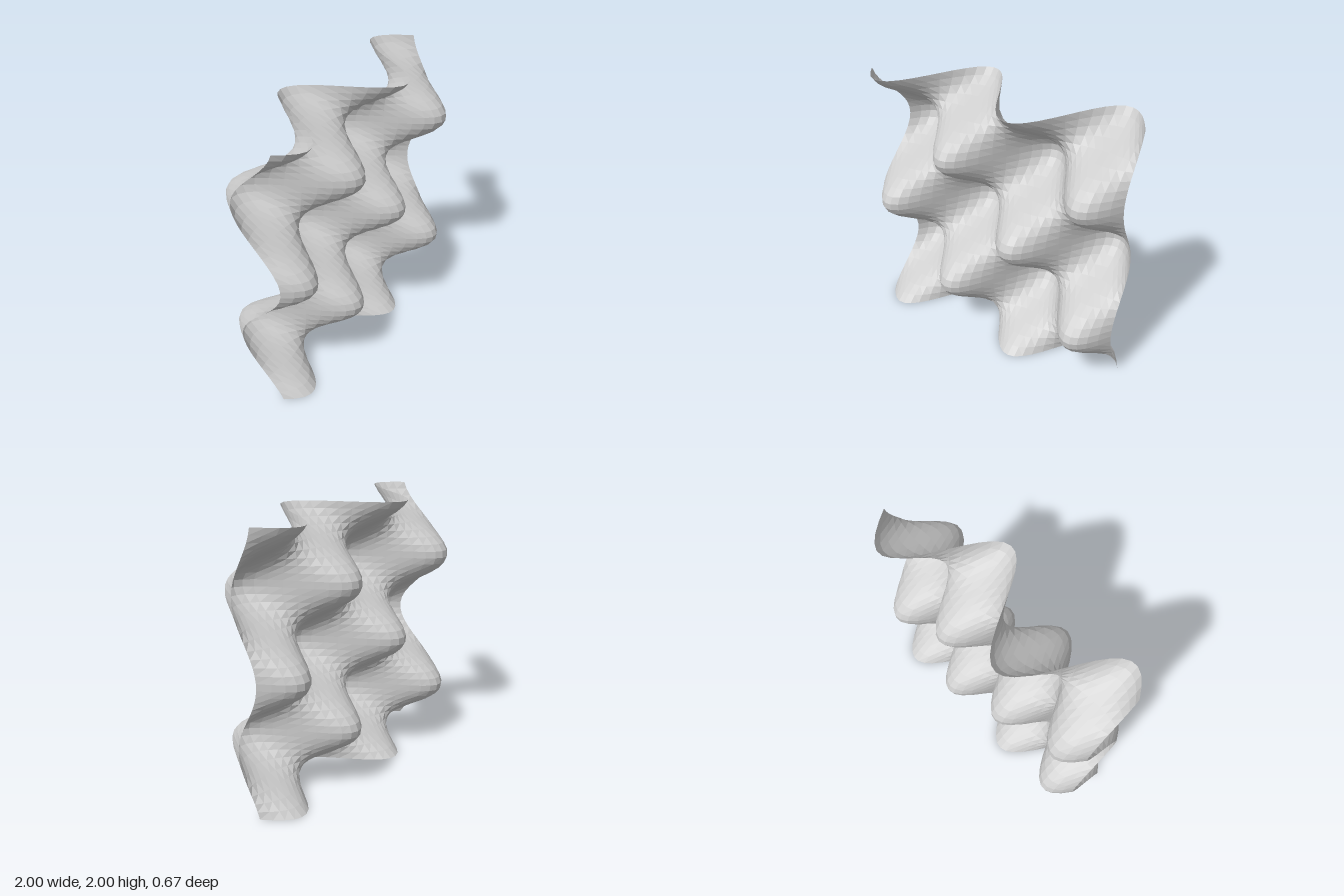
import * as THREE from 'three';

// Square sheet pressed into a checkerboard of smooth peaks and hollows.
const SIZE = 2, SEGMENTS = 40;
const AMPLITUDE = 0.337;
const HALF_WAVE = 0.537;              // spacing of the flat node lines
const NODE_X = -0.025, NODE_Y = 0.708; // one node line in each direction

const height = (x, y) =>
  AMPLITUDE *
  Math.sin((Math.PI * (x - NODE_X)) / HALF_WAVE) *
  Math.sin((Math.PI * (y - NODE_Y)) / HALF_WAVE);

export function createModel() {
  const group = new THREE.Group();
  group.name = 'waveSurface';

  // Quarter turn so the facet diagonals run from upper left to lower right
  const geometry = new THREE.PlaneGeometry(SIZE, SIZE, SEGMENTS, SEGMENTS);
  geometry.rotateZ(Math.PI / 2);
  geometry.translate(0, SIZE / 2, 0);

  // Lift each point by the product of two sine waves
  const pos = geometry.attributes.position;
  for (let i = 0; i < pos.count; i++) pos.setZ(i, height(pos.getX(i), pos.getY(i)));
  geometry.computeVertexNormals();

  const material = new THREE.MeshStandardMaterial({
    color: 0xcccccc,
    flatShading: true,
    side: THREE.DoubleSide,
  });
  const sheet = new THREE.Mesh(geometry, material);
  sheet.name = 'wavySheet';
  group.add(sheet);
  return group;
}
